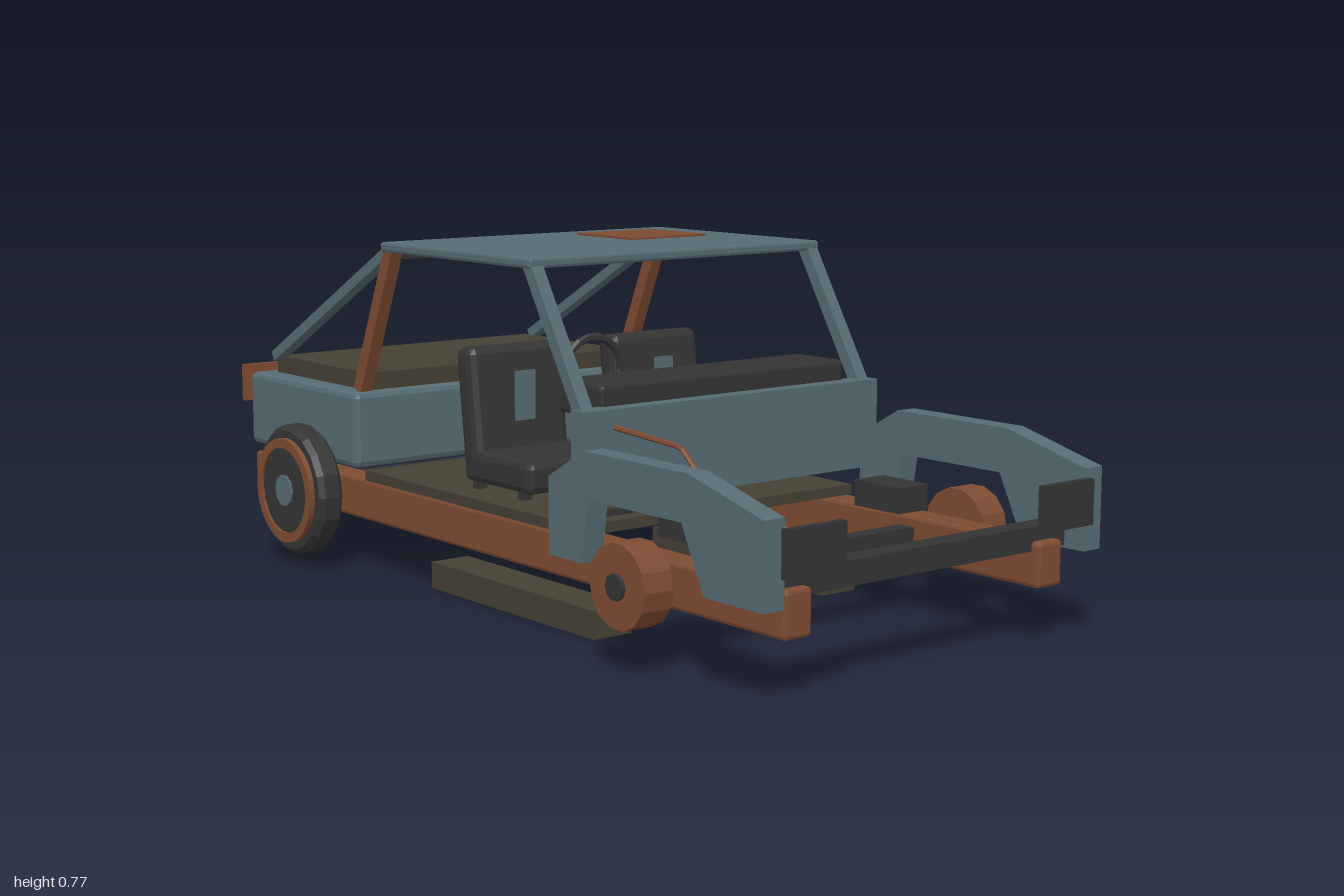
import * as THREE from 'three';
import { RoundedBoxGeometry } from 'three/addons/geometries/RoundedBoxGeometry.js';

export function createModel() {
  const root = new THREE.Group();
  const mat = (name, color) => {
    const m = new THREE.MeshStandardMaterial({ color, flatShading: true });
    m.name = name;
    return m;
  };
  const blue = mat('faded blue paint', 0x566b73);
  const rust = mat('rust', 0x7d4b32);
  const dark = mat('dark rubber and vinyl', 0x343434);
  const olive = mat('dirty olive', 0x454034);

  const add = (name, geo, material, parent = root) => {
    const m = new THREE.Mesh(geo, material);
    m.name = name;
    parent.add(m);
    return m;
  };
  // Box from its min and max on each axis, optionally with bevelled edges
  const box = (name, material, [x0, x1], [y0, y1], [z0, z1], bevel = 0, parent = root) => {
    const s = [x1 - x0, y1 - y0, z1 - z0];
    const geo = bevel ? new RoundedBoxGeometry(...s, 1, bevel) : new THREE.BoxGeometry(...s);
    const m = add(name, geo, material, parent);
    m.position.set((x0 + x1) / 2, (y0 + y1) / 2, (z0 + z1) / 2);
    return m;
  };
  // Same box on the given side of the car
  const sideBox = (name, material, side, [a, b], y, z, bevel) =>
    box(name, material, side > 0 ? [a, b] : [-b, -a], y, z, bevel);
  // Square bar between two points
  const bar = (name, material, a, b, w, t) => {
    const p = new THREE.Vector3(...a), q = new THREE.Vector3(...b);
    const m = add(name, new THREE.BoxGeometry(w, t, p.distanceTo(q)), material);
    m.position.copy(p).lerp(q, 0.5);
    m.lookAt(q);
  };
  // Cylinder lying along x between x0 and x1
  const disc = (name, material, side, r, x0, x1, y, z, sides) => {
    const m = add(name, new THREE.CylinderGeometry(r, r, x1 - x0, sides).rotateZ(Math.PI / 2), material);
    m.position.set(side * (x0 + x1) / 2, y, z);
  };

  // Fender outline as (z, y)
  const fender = new THREE.Shape([
    [0.98, 0.185], [0.98, 0.355], [0.767, 0.41], [0.45, 0.41], [0.335, 0.345], [0.335, 0.185],
    [0.445, 0.185], [0.465, 0.315], [0.75, 0.315], [0.815, 0.185],
  ].map(p => new THREE.Vector2(...p)));

  for (const s of [1, -1]) {
    // Chassis and step boards
    sideBox('frameRail', rust, s, [0.307, 0.377], [0.115, 0.21], [-1, 0.95], 0.008);
    sideBox('stepBoard', olive, s, [0.268, 0.365], [0, 0.06], [-0.23, 0.365]);
    sideBox('springMount', dark, s, [0.225, 0.31], [0.23, 0.285], [0.505, 0.637]);

    // Front fender and lamp
    const f = new THREE.ExtrudeGeometry(fender, { depth: 0.05, bevelEnabled: false }).rotateY(-Math.PI / 2);
    f.translate(s > 0 ? 0.455 : -0.405, 0, 0);
    add('frontFender', f, blue);
    sideBox('headlamp', dark, s, [0.267, 0.413], [0.242, 0.336], [0.98, 0.997]);
    sideBox('tailLamp', rust, s, [0.305, 0.425], [0.345, 0.433], [-0.97, -0.953]);

    // Bare front hub
    disc('frontHub', rust, s, 0.086, 0.425, 0.495, 0.173, 0.607, 14);
    disc('frontHubCap', dark, s, 0.027, 0.495, 0.503, 0.173, 0.607, 10);

    // Rear wheel: tyre, rusty rim ring, dark disc and blue hub
    const tyre = [[0.09, 0.43], [0.14, 0.43], [0.152, 0.442], [0.152, 0.48], [0.14, 0.492], [0.09, 0.492]]
      .map(([r, x]) => new THREE.Vector2(r, x - 0.43));
    const t = add('rearTyre', new THREE.LatheGeometry(tyre, 18), dark);
    t.material = dark;
    t.rotation.z = -s * Math.PI / 2;
    t.position.set(s * 0.43, 0.177, -0.64);
    disc('rearWheelDisc', dark, s, 0.1, 0.432, 0.5, 0.177, -0.64, 18);
    const ring = new THREE.Shape().absarc(0, 0, 0.122, 0, Math.PI * 2);
    ring.holes.push(new THREE.Path().absarc(0, 0, 0.1, 0, Math.PI * 2, true));
    const rim = add('rearRim', new THREE.ExtrudeGeometry(ring, { depth: 0.02, bevelEnabled: false, curveSegments: 18 }), rust);
    rim.rotation.y = Math.PI / 2;
    rim.position.set(s > 0 ? 0.485 : -0.505, 0.177, -0.64);
    disc('rearHub', blue, s, 0.037, 0.49, 0.505, 0.177, -0.64, 10);

    // Roof supports
    bar('windshieldPillar', blue, [s * 0.38, 0.45, 0.362], [s * 0.38, 0.752, 0.18], 0.03, 0.028);
    bar('rearPillar', rust, [s * 0.38, 0.42, -0.485], [s * 0.38, 0.75, -0.345], 0.03, 0.032);
    bar('rearBrace', blue, [s * 0.38, 0.75, -0.345], [s * 0.38, 0.46, -0.87], 0.03, 0.024);

    // Seat
    const seat = new THREE.Group();
    seat.name = 'seat';
    seat.position.x = s * 0.197;
    root.add(seat);
    box('seatCushion', dark, [-0.127, 0.127], [0.25, 0.32], [-0.16, 0.087], 0.015, seat);
    const back = box('seatBack', dark, [-0.127, 0.127], [0.255, 0.545], [-0.177, -0.117], 0.018, seat);
    back.rotation.x = -0.12;
    box('seatPatch', blue, [-0.026, 0.026], [0.38, 0.49], [-0.106, -0.1], 0, seat);
    for (const x of [-0.1, 0.1]) for (const z of [0.035, -0.135])
      box('seatFoot', dark, [x - 0.012, x + 0.012], [0.23, 0.255], [z - 0.01, z + 0.01], 0, seat);
  }

  // Cross members and floor
  box('frontCrossBar', dark, [-0.405, 0.405], [0.19, 0.24], [0.88, 0.93]);
  box('frontAxle', dark, [-0.43, 0.43], [0.14, 0.187], [0.56, 0.602]);
  box('rearAxle', dark, [-0.435, 0.435], [0.155, 0.2], [-0.662, -0.618]);
  box('floor', olive, [-0.38, 0.38], [0.21, 0.233], [-0.48, 0.335]);
  box('pedal', dark, [-0.28, -0.13], [0.23, 0.246], [0.275, 0.295]);

  // Cowl, dashboard and steering wheel
  box('cowl', blue, [-0.403, 0.403], [0.28, 0.473], [0.34, 0.387]);
  box('dashboard', dark, [-0.335, 0.335], [0.447, 0.517], [0.205, 0.35], 0.008);
  add('steeringWheel', new THREE.TorusGeometry(0.074, 0.009, 6, 18), dark).position.set(-0.203, 0.514, 0.152);

  // Roof with a rusty patch
  box('roof', blue, [-0.4, 0.4], [0.744, 0.766], [-0.37, 0.198], 0.006);
  box('roofPatch', rust, [0.073, 0.29], [0.764, 0.771], [-0.27, -0.066]);
  box('roofCrossBar', dark, [-0.37, 0.37], [0.728, 0.746], [-0.365, -0.335]);

  // Rear tub and its cover
  box('rearTub', blue, [-0.42, 0.42], [0.243, 0.418], [-0.94, -0.455], 0.014);
  box('tubCover', olive, [-0.37, 0.37], [0.41, 0.458], [-0.89, -0.48]);

  // Loose rusty cable hanging from the cowl
  const cable = new THREE.CurvePath();
  const pts = [[-0.33, 0.437, 0.385], [-0.208, 0.392, 0.45], [-0.197, 0.285, 0.56], [-0.105, 0.242, 0.677]]
    .map(p => new THREE.Vector3(...p));
  for (let i = 0; i < 3; i++) cable.add(new THREE.LineCurve3(pts[i], pts[i + 1]));
  add('looseCable', new THREE.TubeGeometry(cable, 30, 0.006, 6), rust);

  return root;
}
